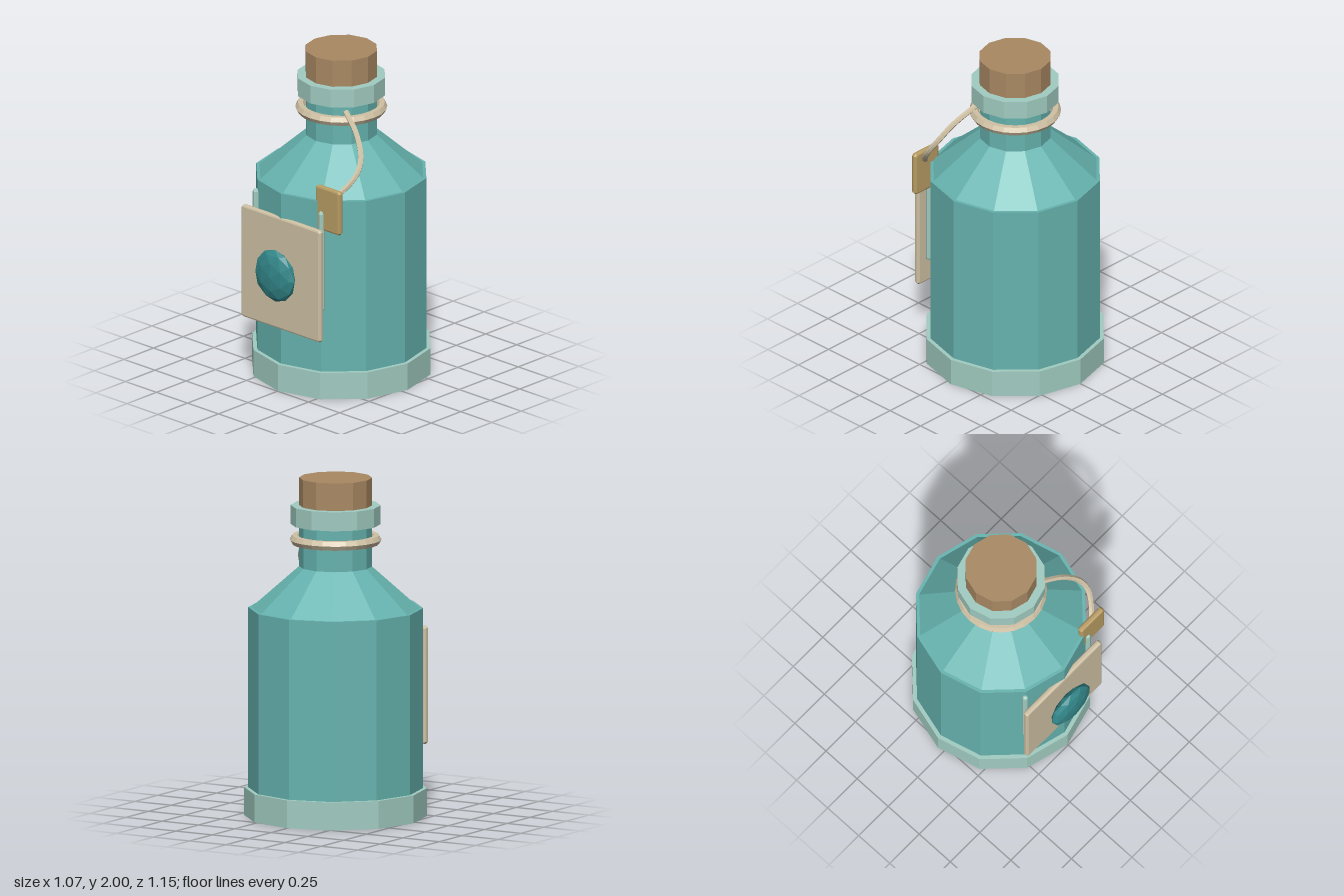
import * as THREE from 'three';

const mat = (name, color) => {
  const m = new THREE.MeshStandardMaterial({ color, flatShading: true });
  m.name = name;
  return m;
};

export function createModel() {
  const glass = mat('teal glass', 0x66b3af);
  const trim = mat('pale trim', 0xa1ccc1);
  const cork = mat('cork brown', 0xa98963);
  const cream = mat('cream', 0xcfc1a4);
  const gold = mat('tag gold', 0xb99d64);
  const gemTeal = mat('gem teal', 0x33878a);

  const model = new THREE.Group();
  const bottle = new THREE.Group();
  bottle.name = 'bottle';
  bottle.position.z = -0.04;
  model.add(bottle);

  const add = (parent, name, geo, material, x = 0, y = 0, z = 0) => {
    const mesh = new THREE.Mesh(geo, material);
    mesh.name = name;
    mesh.position.set(x, y, z);
    parent.add(mesh);
    return mesh;
  };
  // twelve-sided drum between two heights
  const drum = (name, rTop, rBottom, y0, y1, material) =>
    add(bottle, name, new THREE.CylinderGeometry(rTop, rBottom, y1 - y0, 12), material, 0, (y0 + y1) / 2);

  drum('base', 0.535, 0.535, 0, 0.165, trim);
  drum('body', 0.511, 0.511, 0.16, 1.23, glass);
  drum('shoulder', 0.213, 0.494, 1.228, 1.475, glass);
  drum('neck', 0.213, 0.213, 1.47, 1.73, glass);
  drum('lip', 0.263, 0.263, 1.725, 1.837, trim);
  drum('cork', 0.214, 0.214, 1.83, 2, cork);

  // cord wound around the neck
  const ring = add(bottle, 'neckCord', new THREE.TorusGeometry(0.239, 0.03, 6, 24), cream, 0, 1.635);
  ring.rotation.x = Math.PI / 2;

  // cord hanging down to the tag
  const path = new THREE.CatmullRomCurve3([
    [0.17, 1.685, 0.1], [0.31, 1.59, 0.155], [0.395, 1.48, 0.21],
    [0.412, 1.4, 0.265], [0.37, 1.31, 0.335], [0.31, 1.25, 0.39],
  ].map((p) => new THREE.Vector3(...p)));
  add(model, 'tagCord', new THREE.TubeGeometry(path, 20, 0.017, 6), cream);

  // flat plate with chamfered edges and corners
  const plate = (w, h, d, b) => {
    const x = w / 2 - b, y = h / 2 - b, c = b * 0.5;
    const shape = new THREE.Shape([
      [x - c, -y], [x, c - y], [x, y - c], [x - c, y],
      [c - x, y], [-x, y - c], [-x, c - y], [c - x, -y],
    ].map((p) => new THREE.Vector2(...p)));
    const geo = new THREE.ExtrudeGeometry(shape, {
      depth: d - 2 * b, bevelEnabled: true, bevelSize: b, bevelThickness: b, bevelSegments: 2,
    });
    return geo.translate(0, 0, b - d / 2);
  };
  add(model, 'label', plate(0.635, 0.7, 0.036, 0.012), cream, -0.002, 0.728, 0.458);
  add(model, 'tag', plate(0.195, 0.272, 0.036, 0.012), gold, 0.311, 1.19, 0.39);

  // rods behind the label
  for (const side of [-1, 1]) {
    add(model, side < 0 ? 'rightRod' : 'leftRod',
      new THREE.CapsuleGeometry(0.019, 0.592, 2, 8), trim, side * 0.264, 0.86, 0.405);
  }

  // faceted gem on the label
  const gem = add(model, 'gem', new THREE.IcosahedronGeometry(1, 1), gemTeal, 0, 0.73, 0.52);
  gem.scale.set(0.157, 0.161, 0.051);

  return model;
}
